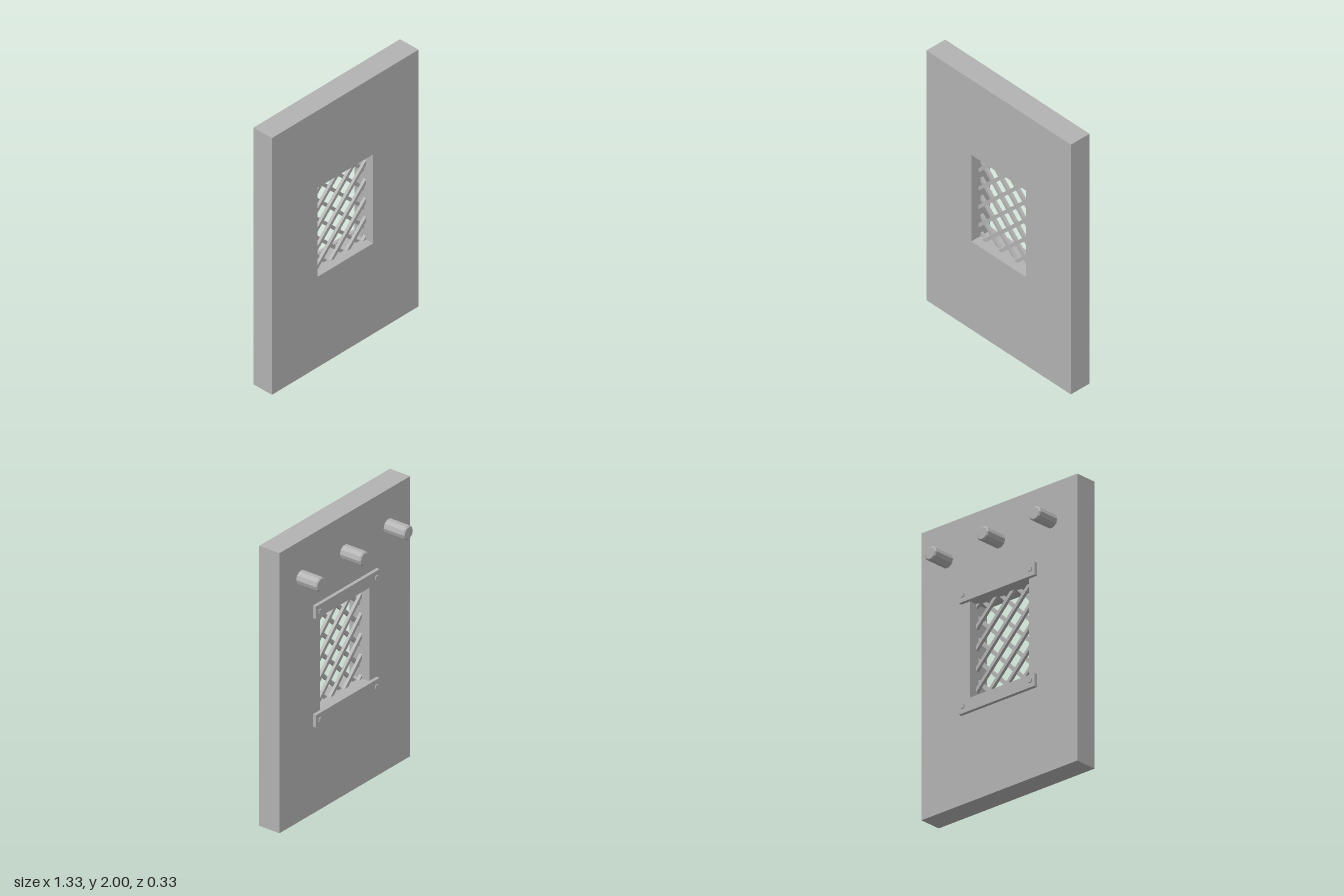
import * as THREE from 'three';

export function createModel() {
  const model = new THREE.Group();
  const grey = new THREE.MeshStandardMaterial({ color: 0xb2b2b2, flatShading: true });
  grey.name = 'plain grey';

  const add = (name, geometry, x, y, z) => {
    const mesh = new THREE.Mesh(geometry, grey);
    mesh.name = name;
    mesh.position.set(x, y, z);
    model.add(mesh);
    return mesh;
  };

  const depth = 0.163, halfW = 0.665;
  const hole = { x: 0.252, y0: 0.705, y1: 1.398 };

  // Slab with a rectangular window
  const outline = new THREE.Shape([
    new THREE.Vector2(-halfW, 0), new THREE.Vector2(halfW, 0),
    new THREE.Vector2(halfW, 2), new THREE.Vector2(-halfW, 2),
  ]);
  outline.holes.push(new THREE.Path([
    new THREE.Vector2(-hole.x, hole.y0), new THREE.Vector2(-hole.x, hole.y1),
    new THREE.Vector2(hole.x, hole.y1), new THREE.Vector2(hole.x, hole.y0),
  ]));
  add('panel', new THREE.ExtrudeGeometry(outline, { depth, bevelEnabled: false }), 0, 0, 0);

  // Two crossing layers of diagonal bars, each trimmed to the window
  const bar = 0.024, pitch = 0.147, midY = (hole.y0 + hole.y1) / 2;
  const halfH = (hole.y1 - hole.y0) / 2, embed = 0.03;
  for (const slope of [1, -1]) {
    for (let i = -4; i <= 4; i++) {
      const c = i * pitch;
      // Line y = slope * x + c, measured from the window centre
      const a = (-halfH - c) * slope, b = (halfH - c) * slope;
      const x0 = Math.max(-hole.x, Math.min(a, b));
      const x1 = Math.min(hole.x, Math.max(a, b));
      if (x1 <= x0) continue;
      const mid = (x0 + x1) / 2;
      const length = (x1 - x0) * Math.SQRT2 + embed;
      const mesh = add('latticeBar', new THREE.BoxGeometry(length, bar, 0.022),
        mid, midY + slope * mid + c, 0.081 + slope * 0.01);
      mesh.rotation.z = slope * Math.PI / 4;
    }
  }

  // Back straps above and below the window, with a square bolt at each end
  for (const y of [1.441, 0.665]) {
    add('strap', new THREE.BoxGeometry(0.646, 0.09, 0.025), 0, y, -0.0125);
    for (const x of [-0.288, 0.288]) {
      add('bolt', new THREE.BoxGeometry(0.024, 0.024, 0.012), x, y, -0.028);
    }
  }

  // Ten-sided chamfered pegs along the top of the back
  const pegProfile = [[0, 0], [0.05, 0], [0.05, 0.154], [0.041, 0.163], [0, 0.163]]
    .map(([r, h]) => new THREE.Vector2(r, h));
  for (const x of [-0.445, 0, 0.445]) {
    const peg = add('peg', new THREE.LatheGeometry(pegProfile, 10, Math.PI / 2), x, 1.738, 0);
    peg.rotation.x = -Math.PI / 2;
  }

  return model;
}
